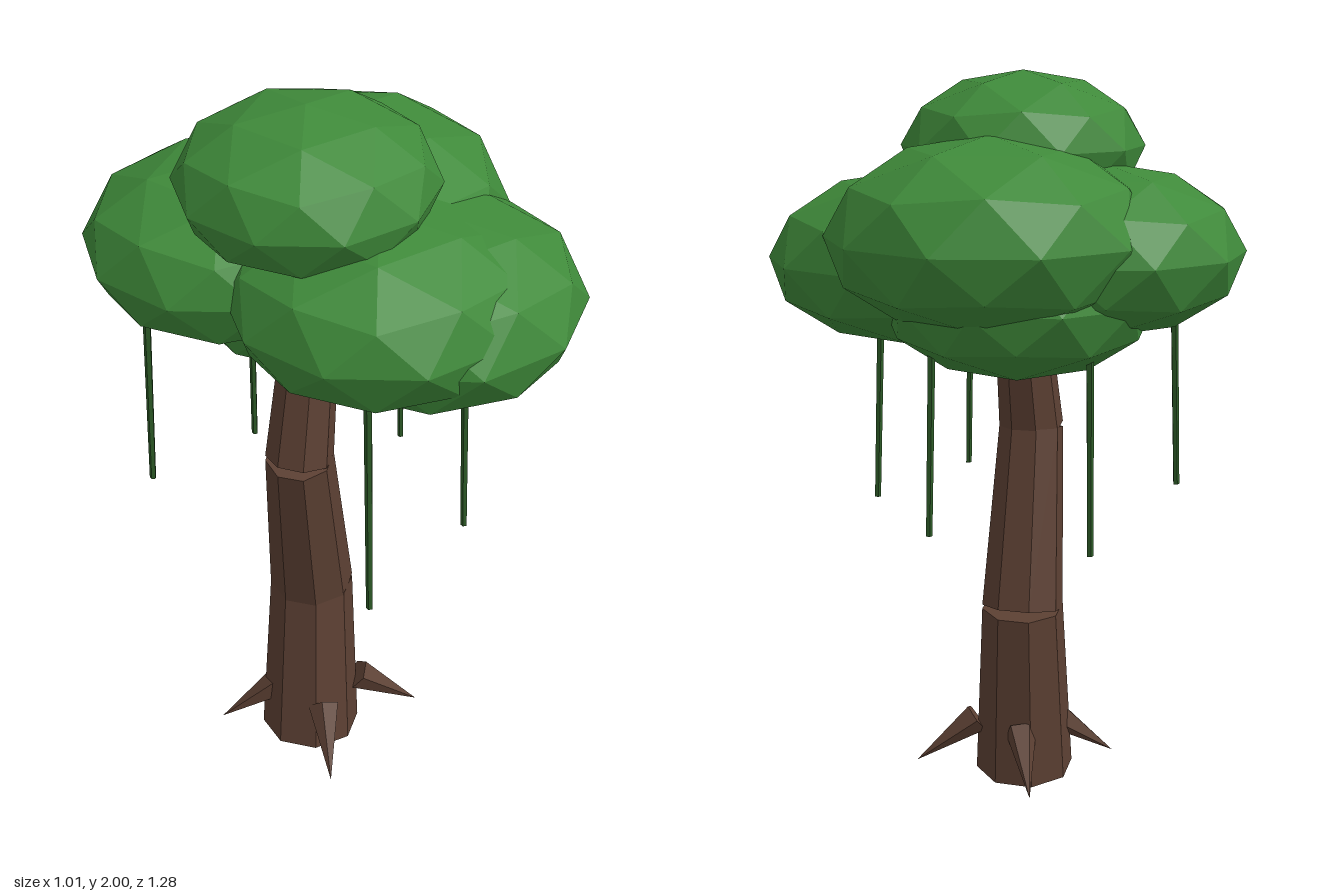
import * as THREE from 'three';

const V = (x, y, z) => new THREE.Vector3(x, y, z);

function paint(name, hex) {
  const m = new THREE.MeshStandardMaterial({ color: hex });
  m.name = name;
  return m;
}

// Faceted normals for the low-poly look
function facet(geometry) {
  const g = geometry.index ? geometry.toNonIndexed() : geometry;
  g.computeVertexNormals();
  return g;
}

// Tapered straight piece running from point a to point b
function limb(name, a, b, ra, rb, sides, material) {
  const dir = b.clone().sub(a);
  const geo = new THREE.CylinderGeometry(rb, ra, dir.length(), sides);
  const mesh = new THREE.Mesh(facet(geo), material);
  mesh.name = name;
  mesh.position.copy(a).lerp(b, 0.5);
  mesh.quaternion.setFromUnitVectors(V(0, 1, 0), dir.normalize());
  return mesh;
}

// Flattened ball of leaves with a corner pointing straight up
function leafBall(name, x, y, z, r, material) {
  const geo = new THREE.IcosahedronGeometry(r, 1);
  geo.rotateZ(Math.atan(2 / (1 + Math.sqrt(5))));
  geo.rotateY(Math.PI);
  geo.scale(1, 0.6, 1);
  const mesh = new THREE.Mesh(facet(geo), material);
  mesh.name = name;
  mesh.position.set(x, y, z);
  return mesh;
}

export function createModel() {
  const bark = paint('bark brown', 0x5c4033);
  const leaf = paint('leaf green', 0x3f8a3a);
  const vineGreen = paint('vine green', 0x2d5a27);
  const tree = new THREE.Group();
  tree.name = 'tree';

  // Crooked trunk: separate straight segments that leave notches at the bends
  const trunk = new THREE.Group();
  trunk.name = 'trunk';
  const joints = [V(-0.19, 0.015, -0.005), V(-0.146, 0.52, -0.028), V(-0.23, 1.025, 0.008), V(-0.14, 1.53, -0.004)];
  const radii = [0.14, 0.115, 0.09, 0.066];
  for (let i = 0; i < 3; i++) {
    trunk.add(limb('trunkSegment', joints[i], joints[i + 1], radii[i], radii[i + 1], 8, bark));
  }
  tree.add(trunk);

  // Four pointed roots on the diagonals
  const roots = new THREE.Group();
  roots.name = 'roots';
  for (const sx of [-1, 1]) {
    for (const sz of [-1, 1]) {
      const at = (d, y) => V(-0.165 + sx * d, y, 0.01 + sz * d);
      roots.add(limb('root', at(0.08, 0.17), at(0.203, 0.045), 0.045, 0, 5, bark));
    }
  }
  tree.add(roots);

  // Canopy: x, y, z, radius
  const canopy = new THREE.Group();
  canopy.name = 'canopy';
  const balls = [
    ['crownTop', -0.168, 1.805, -0.003, 0.325],
    ['crownRight', 0.1, 1.597, -0.1, 0.425],
    ['crownFront', -0.005, 1.502, 0.25, 0.389],
    ['crownLeftFront', -0.138, 1.548, 0.19, 0.38],
    ['crownLeftBack', -0.155, 1.55, -0.272, 0.373],
    ['crownUnderside', 0.005, 1.437, -0.12, 0.362],
  ];
  for (const [name, x, y, z, r] of balls) canopy.add(leafBall(name, x, y, z, r, leaf));
  tree.add(canopy);

  // Hanging vines: x, z and height of the lower end, leaning outward a little
  const vines = new THREE.Group();
  vines.name = 'vines';
  const ends = [
    [0.23, 0, 0.815],
    [0.02, 0.365, 0.81],
    [0.02, -0.368, 0.78],
    [-0.402, 0.37, 0.82],
    [-0.402, -0.365, 0.88],
  ];
  for (const [x, z, y] of ends) {
    const top = V(-0.165 + (x + 0.165) * 0.95, 1.45, z * 0.95);
    vines.add(limb('vine', V(x, y, z), top, 0.009, 0.011, 5, vineGreen));
  }
  tree.add(vines);

  return tree;
}
